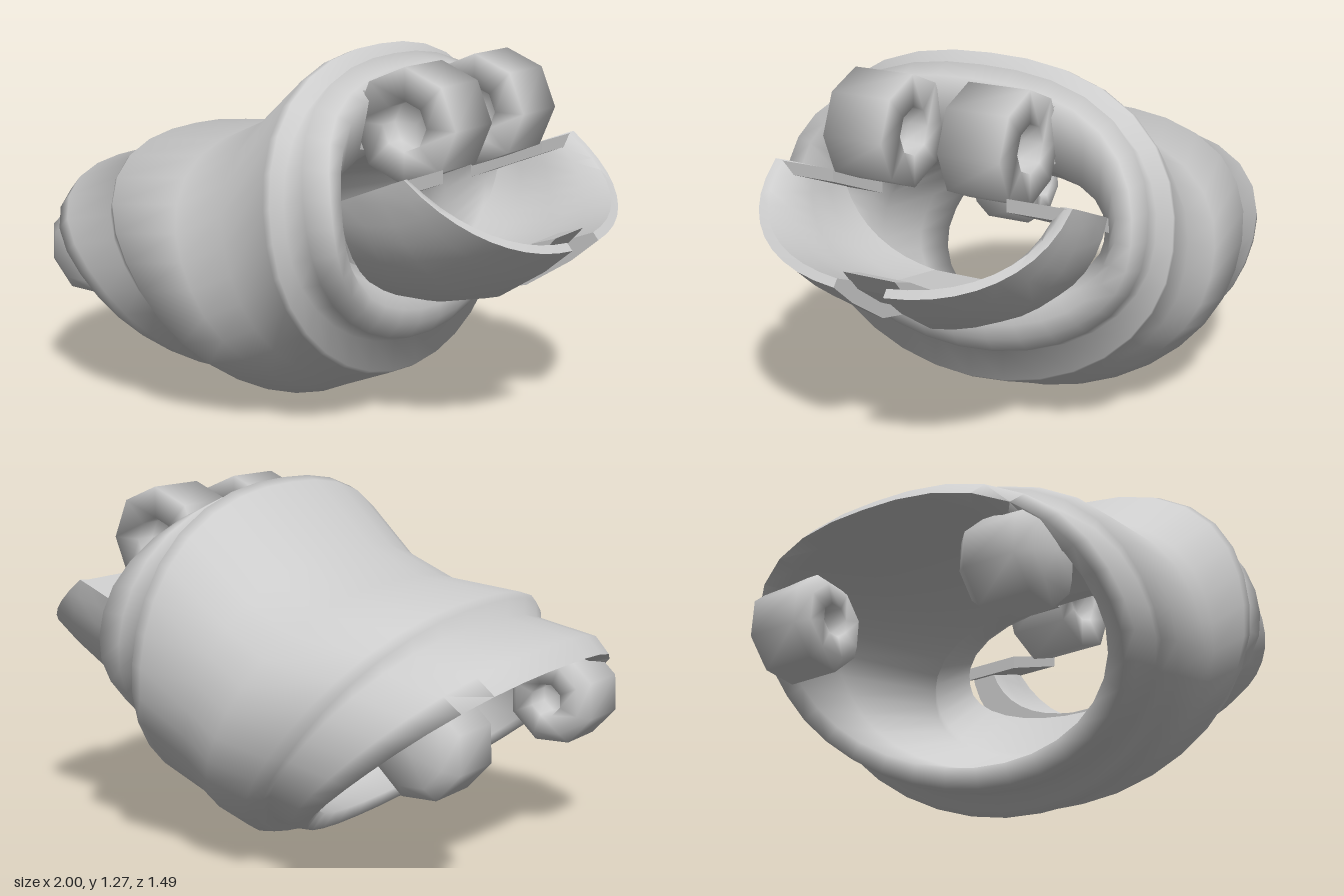
import * as THREE from 'three';
import { toCreasedNormals } from 'three/addons/utils/BufferGeometryUtils.js';

const material = new THREE.MeshStandardMaterial({ color: 0xcccccc, side: THREE.DoubleSide });

// Skin over rows of points; each row is a closed loop
function skin(rows, closeRows, crease) {
  const n = rows[0].length, index = [], pos = rows.flat(2);
  const last = closeRows ? rows.length : rows.length - 1;
  for (let i = 0; i < last; i++) {
    for (let j = 0; j < n; j++) {
      const k = (i + 1) % rows.length, m = (j + 1) % n;
      const a = i * n + j, b = k * n + j, c = k * n + m, d = i * n + m;
      index.push(a, d, b, d, c, b);
    }
  }
  const g = new THREE.BufferGeometry();
  g.setAttribute('position', new THREE.Float32BufferAttribute(pos, 3));
  g.setIndex(index);
  return toCreasedNormals(g, crease);
}

// Oval ring tilted between a top and a bottom point. Its upper half is squarer
// by the power; bulge pushes its sides along x.
function oval([tx, ty, bx, by, hz, power, bulge = 0], segments = 32) {
  const ring = [];
  for (let i = 0; i < segments; i++) {
    const a = (i / segments) * Math.PI * 2;
    let c = Math.cos(a), s = Math.sin(a);
    if (c > 0) {
      const r = (c ** power + Math.abs(s) ** power) ** (-1 / power);
      c *= r;
      s *= r;
    }
    ring.push([
      (tx + bx) / 2 + ((tx - bx) / 2) * c + bulge * s ** 4,
      (ty + by) / 2 + ((ty - by) / 2) * c,
      hz * s,
    ]);
  }
  return ring;
}

// Height of the sloping shelf that the scoop's sides are cut to under the hinges
const shelfHeight = (x) => 0.93 - 0.4 * Math.max(0, 0.65 - x);

// Half of the split scoop: a tapering wall swept from the rim to the middle gap
function scoopHalf(side) {
  const profile = [ // x, y at the bottom, half width
    [0.40, 0.42, 0.58], [0.55, 0.42, 0.58], [0.73, 0.46, 0.58], [0.9, 0.57, 0.58], [1, 0.655, 0.58],
    [0.98, 0.68, 0.55], [0.88, 0.64, 0.51], [0.72, 0.57, 0.49], [0.55, 0.53, 0.49], [0.40, 0.53, 0.49],
  ];
  const rows = [], steps = 10, end = 1.45;
  for (let i = 0; i <= steps; i++) {
    const t = (i / steps) * end;
    const s = (Math.sin(t) / Math.sin(end)) ** 0.88, c = Math.cos(t) ** 0.88;
    rows.push(profile.map(([px, py, w]) => {
      const x = 0.4 + (px - 0.4) * (0.42 + 0.58 * s);
      return [x, Math.min(0.93 - s * (0.93 - py), shelfHeight(x)), side * Math.max(w * c, 0.095)];
    }));
  }
  // Caps fold each end loop onto its middle line
  const cap = (r) => r.map((p, i) => p.map((v, k) => (v + r[r.length - 1 - i][k]) / 2));
  const all = [cap(rows[0]), ...rows, cap(rows[steps])];
  if (side > 0) all.reverse();
  return skin(all, false, 0.8);
}

// Turned part with its axis along z; the profile runs from -z to +z when side is 1
function turned(profile, side, turn) {
  const g = new THREE.LatheGeometry(profile.map(([x, y]) => new THREE.Vector2(x, y)), 8);
  g.rotateX((side * Math.PI) / 2);
  g.rotateZ(turn);
  return toCreasedNormals(g, 1.7);
}

// Flat outline in x and y, given a width centred on z
function slab(points, width) {
  const shape = new THREE.Shape(points.map(([x, y]) => new THREE.Vector2(x, y)));
  const g = new THREE.ExtrudeGeometry(shape, { depth: width, bevelEnabled: false });
  return g.translate(0, 0, -width / 2);
}

export function createModel() {
  const model = new THREE.Group();
  const add = (name, geometry, x = 0, y = 0, z = 0) => {
    const mesh = new THREE.Mesh(geometry, material);
    mesh.name = name;
    mesh.position.set(x, y, z);
    model.add(mesh);
  };

  // Hollow shell: lower cuff, waist, flared edge, collar, then back through the bore
  const sections = [
    [-1.0, 0.73, -0.15, 0.05, 0.67, 2.5],
    [-0.94, 0.79, -0.1, 0.045, 0.69, 2.5],
    [-0.69, 0.835, -0.04, 0.06, 0.69, 2.5],
    [-0.69, 0.9, -0.01, 0.01, 0.7, 2.4],
    [-0.66, 0.918, 0.04, 0.0, 0.738, 2.4],
    [-0.32, 0.945, 0.14, 0.045, 0.735, 2.4],
    [-0.11, 1.04, 0.21, 0.073, 0.7, 2.4],
    [0.14, 1.26, 0.32, 0.118, 0.738, 2.4],
    [0.18, 1.275, 0.34, 0.13, 0.745, 2.4],
    [0.21, 1.215, 0.335, 0.24, 0.69, 2.4],
    [0.24, 1.245, 0.4, 0.262, 0.7, 2.4, 0.04],
    [0.31, 1.21, 0.44, 0.32, 0.69, 2.4, 0.085],
    [0.35, 1.17, 0.44, 0.37, 0.63, 2.4, 0.06],
    [0.31, 0.95, 0.42, 0.45, 0.56, 2.8],
    [0.27, 0.93, 0.36, 0.5, 0.52, 2.8],
    [0.08, 0.9, 0.2, 0.3, 0.55, 2.5],
    [0.04, 0.83, 0.15, 0.27, 0.52, 2.5],
    [-0.6, 0.77, -0.03, 0.16, 0.6, 2.5],
    [-0.93, 0.71, -0.19, 0.115, 0.61, 2.5],
  ];
  add('shell', skin(sections.map((s) => oval(s)), true, 2.0));

  // Upper hinge: a ring with a web in the middle of its hole
  const hinge = [
    [0, -0.04], [0.085, -0.04], [0.085, -0.116], [0.197, -0.116],
    [0.197, 0.116], [0.085, 0.116], [0.085, 0.04], [0, 0.04],
  ];
  // Lower hinge: a rounded knob with a blind hole on its inner face
  const knob = [
    [0, -0.05], [0.06, -0.05], [0.06, -0.14], [0.13, -0.14], [0.17, -0.1],
    [0.17, 0.09], [0.12, 0.13], [0, 0.14],
  ];
  // Shelf that closes the top of the scoop beside the hinge
  const shelf = [
    [0.36, shelfHeight(0.36) - 0.05], [0.65, 0.88], [0.65, 0.925], [0.36, shelfHeight(0.36)],
  ];
  for (const side of [1, -1]) {
    const label = side > 0 ? 'left' : 'right';
    add(label + 'Scoop', scoopHalf(side));
    add(label + 'Shelf', slab(shelf, 0.22), 0, 0, side * 0.45);
    add(label + 'Hinge', turned(hinge, side, 0), 0.5, 1.053, side * 0.225);
    add(label + 'HingeMount', new THREE.BoxGeometry(0.1, 0.2, 0.225), 0.32, 1.06, side * 0.225);
    add(label + 'LowerHinge', turned(knob, side, 0.35), -0.755, 0.515, side * 0.445);
  }

  // Recessed bridge between the scoop halves
  add('scoopBridge', slab([
    [0.4, 0.47], [0.58, 0.475], [0.74, 0.52], [0.87, 0.61], [0.94, 0.69],
    [0.85, 0.66], [0.68, 0.57], [0.4, 0.53],
  ], 0.2));

  return model;
}
